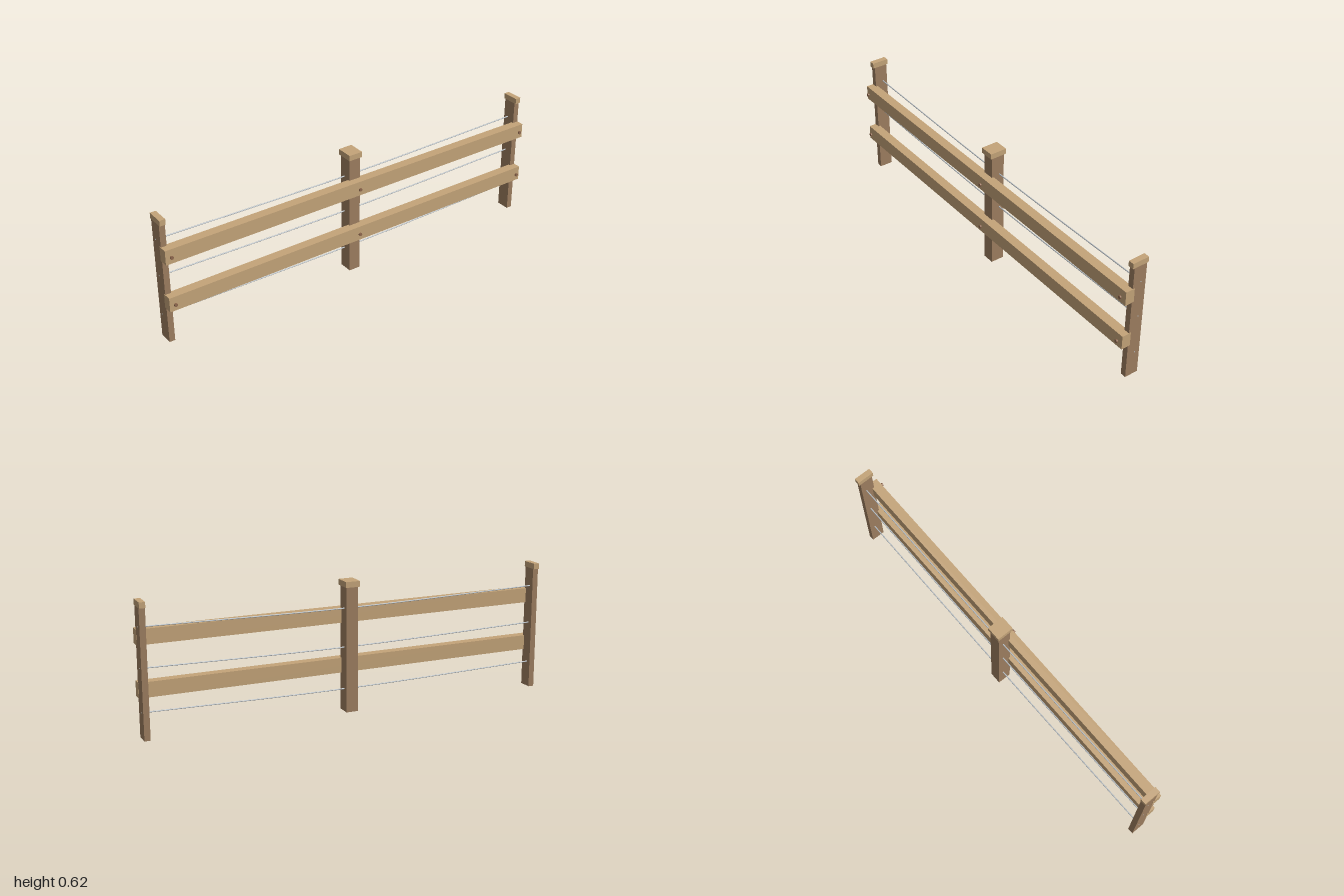
import * as THREE from 'three';

function material(name, color) {
  const m = new THREE.MeshStandardMaterial({ color });
  m.name = name;
  return m;
}

export function createModel() {
  const fence = new THREE.Group();
  fence.name = 'fence';
  const postWood = material('dark post wood', 0x9d7e60);
  const railWood = material('light rail wood', 0xc4a479);
  const rust = material('rusty bolt', 0x8f684e);
  const steel = material('wire steel', 0xbcc3c8);

  function add(parent, name, geometry, mat, x, y, z) {
    const mesh = new THREE.Mesh(geometry, mat);
    mesh.name = name;
    mesh.position.set(x, y, z);
    parent.add(mesh);
    return mesh;
  }
  const box = (w, h, d) => new THREE.BoxGeometry(w, h, d);

  // Posts with caps: full in the middle, halved at both ends
  const posts = [
    { name: 'leftPost', x: 0.985, w: 0.028, capW: 0.028 },
    { name: 'middlePost', x: 0, w: 0.058, capW: 0.07 },
    { name: 'rightPost', x: -0.985, w: 0.028, capW: 0.028 },
  ];
  for (const p of posts) {
    const post = new THREE.Group();
    post.name = p.name;
    post.position.x = p.x;
    add(post, 'postShaft', box(p.w, 0.598, 0.067), postWood, 0, 0.299, -0.0205);
    add(post, 'postCap', box(p.capW, 0.027, 0.083), railWood, 0, 0.6115, -0.02);
    fence.add(post);
  }

  // Horizontal rails with a bolt head at every post
  const boltGeometry = new THREE.CylinderGeometry(0.008, 0.008, 0.007, 16).rotateX(Math.PI / 2);
  for (const y of [0.2155, 0.4555]) {
    add(fence, 'rail', box(2, 0.071, 0.046), railWood, 0, y, 0.026);
    for (const x of [-0.975, 0, 0.975]) add(fence, 'bolt', boltGeometry, rust, x, y, 0.0595);
  }

  // Wires sagging towards the middle
  const sag = new THREE.CatmullRomCurve3([
    new THREE.Vector3(-1, 0, 0),
    new THREE.Vector3(0, -0.015, 0),
    new THREE.Vector3(1, 0, 0),
  ]);
  const wireGeometry = new THREE.TubeGeometry(sag, 16, 0.003, 12);
  const endGeometry = new THREE.CircleGeometry(0.003, 12);
  for (const y of [0.125, 0.326, 0.511]) {
    const wire = add(fence, 'wire', wireGeometry, steel, 0, y, -0.029);
    // Flat wire ends
    for (const side of [-1, 1]) {
      add(wire, 'wireEnd', endGeometry, steel, side, 0, 0).rotation.y = side * Math.PI / 2;
    }
  }
  return fence;
}
